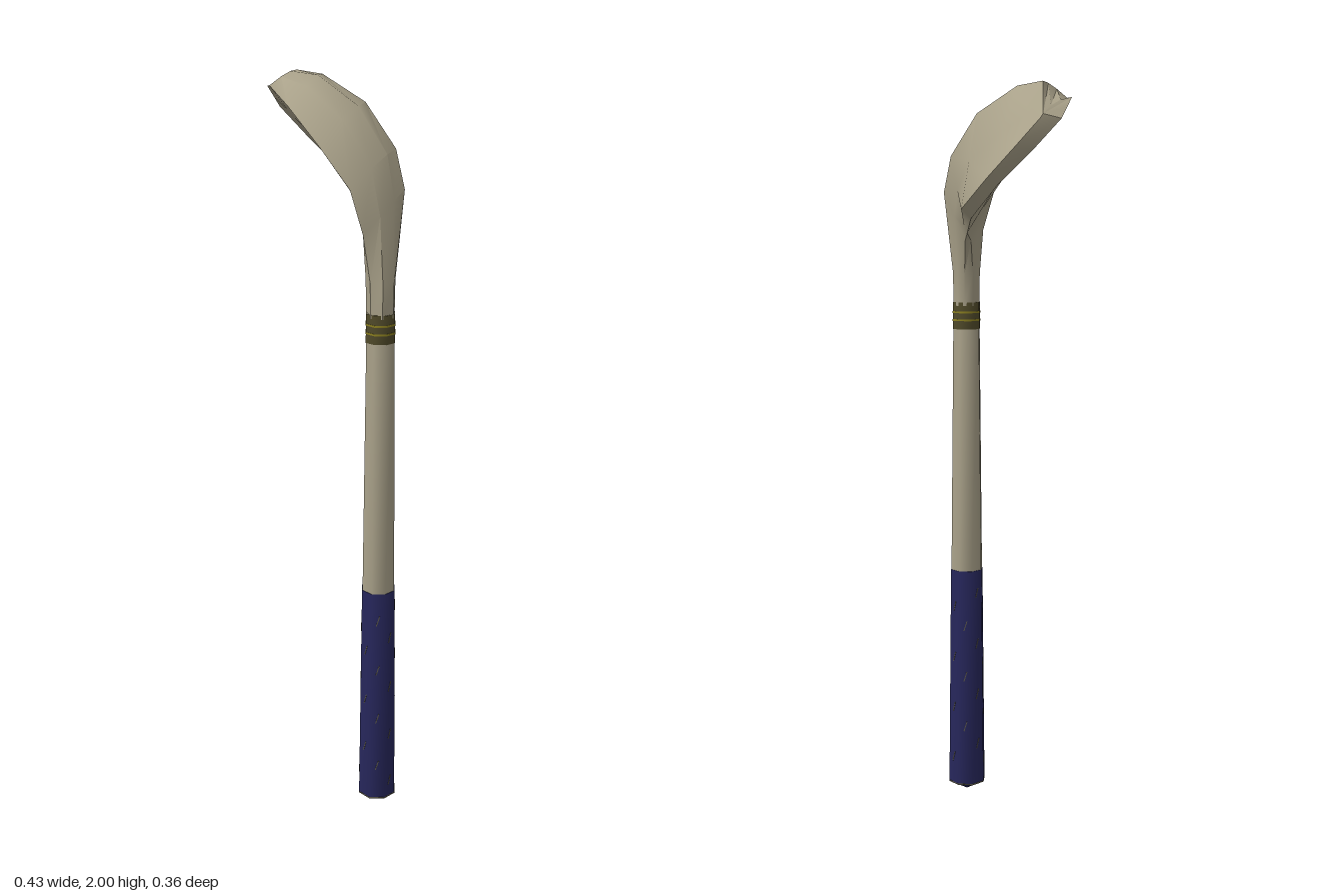
import * as THREE from 'three';
import { toCreasedNormals } from 'three/addons/utils/BufferGeometryUtils.js';

const mat = (name, color) => {
  const m = new THREE.MeshStandardMaterial({ color });
  m.name = name;
  return m;
};

// Slightly leaning, tapering axis of the shaft
const radiusAt = y => 0.053 - 0.0105 * y;
const centreAt = y => [0.158 + 0.001 * y, 0.095 + 0.008 * y];
const OCTAGON = [0, -45, -90, -135, -180, -225, -270, -315];

function ring(y, r = radiusAt(y), angles = OCTAGON) {
  const [cx, cz] = centreAt(y);
  return angles.map(d => {
    const a = d * Math.PI / 180;
    return [cx + r * Math.cos(a), y, cz + r * Math.sin(a)];
  });
}

// Skin over a list of cross-sections running from top to bottom
function loft(sections, crease = 0.9) {
  const n = sections[0].length, index = [];
  for (let i = 0; i < sections.length - 1; i++) {
    for (let j = 0; j < n; j++) {
      const a = i * n + j, b = i * n + (j + 1) % n;
      index.push(a, a + n, b, b, a + n, b + n);
    }
  }
  const last = (sections.length - 1) * n;
  for (let j = 1; j < n - 1; j++) {
    index.push(0, j, j + 1, last, last + j + 1, last + j);
  }
  const g = new THREE.BufferGeometry();
  g.setAttribute('position', new THREE.Float32BufferAttribute(sections.flat(2), 3));
  g.setIndex(index);
  return toCreasedNormals(g, crease);
}

// Head section: ridge, lower face edge, lower crown edge, outer crown edge, sole bulge
function headSection([ridge, face, low, outer, bulge]) {
  const mix = (p, q, t, b = 0) => [
    p[0] + (q[0] - p[0]) * t + b * 0.6,
    p[1] + (q[1] - p[1]) * t + b * 0.6,
    p[2] + (q[2] - p[2]) * t + b * 0.3,
  ];
  return [ridge, mix(ridge, face, 0.5), face, low, mix(low, outer, 0.5), outer,
    mix(outer, ridge, 0.33, bulge), mix(outer, ridge, 0.67, bulge)];
}

export function createModel() {
  const group = new THREE.Group();
  const metal = mat('warm grey', 0xaba38b);
  const navy = mat('navy grip', 0x27275c);
  const olive = mat('dark olive', 0x504a2a);
  const yellow = mat('dull yellow', 0x8c8020);
  const thread = mat('grip thread', 0x5c5848);
  const add = (name, geometry, material) => {
    const mesh = new THREE.Mesh(geometry, material);
    mesh.name = name;
    group.add(mesh);
    return mesh;
  };

  // Club head, lofted from the toe and blended into the neck
  const neckAngles = [-45, -78, -110, -145, -190, -250, -300, -350];
  const head = [
    [[-0.185, 1.91, -0.135], [-0.18, 1.90, -0.14], [-0.22, 1.90, -0.10], [-0.20, 1.963, 0.01], 0.012],
    [[-0.145, 2.0, -0.05], [-0.13, 1.83, -0.18], [-0.16, 1.82, -0.145], [-0.145, 1.972, 0.105], 0.016],
    [[-0.07, 1.992, -0.045], [-0.04, 1.755, -0.16], [-0.06, 1.74, -0.135], [-0.07, 1.93, 0.155], 0.04],
    [[0.06, 1.93, -0.02], [0.06, 1.68, -0.11], [0.045, 1.655, -0.085], [0.025, 1.84, 0.178], 0.045],
    [[0.16, 1.825, 0.02], [0.105, 1.64, -0.01], [0.10, 1.62, 0.0], [0.10, 1.74, 0.165], 0.035],
    [[0.193, 1.73, 0.04], [0.125, 1.60, 0.035], [0.115, 1.60, 0.05], [0.13, 1.63, 0.153], 0.018],
  ].map(headSection);
  head.push(ring(1.51, 0.039, neckAngles), ring(1.42, 0.038, neckAngles));
  add('clubHead', loft(head, 0.8), metal);

  // Shaft and the collar with its thin rings
  add('shaft', loft([ring(1.43), ring(0.66)]), metal);
  const band = (name, y0, y1, grow, material) =>
    add(name, loft([ring(y1, radiusAt(y1) + grow), ring(y0, radiusAt(y0) + grow)]), material);
  band('collar', 1.355, 1.43, 0.0015, olive);
  for (const y of [1.378, 1.400]) band('collarRing', y, y + 0.005, 0.0025, yellow);

  // Grip with a pointed end cap
  band('grip', 0.03, 0.665, 0.0015, navy);
  band('gripEndRing', 0.027, 0.031, 0.002, thread);
  add('gripCap', loft([ring(0.028, 0.053), ring(0, 0.002)], 0.5), navy);

  // Slanted stitches winding around the grip
  for (let side = 0; side < 8; side++) {
    const angle = (side + 0.5) * Math.PI / 4;
    for (let k = 0; k < 4; k++) {
      const y = 0.08 + k * 0.15 + (side * 0.055) % 0.15;
      if (y > 0.63) continue;
      const [cx, cz] = centreAt(y);
      const d = (radiusAt(y) + 0.0015) * Math.cos(Math.PI / 8);
      const stitch = add('gripStitch', new THREE.BoxGeometry(0.0025, 0.03, 0.002), thread);
      stitch.position.set(cx + d * Math.cos(angle), y, cz + d * Math.sin(angle));
      stitch.rotation.set(0, Math.PI / 2 - angle, -0.3, 'YXZ');
    }
  }
  return group;
}
